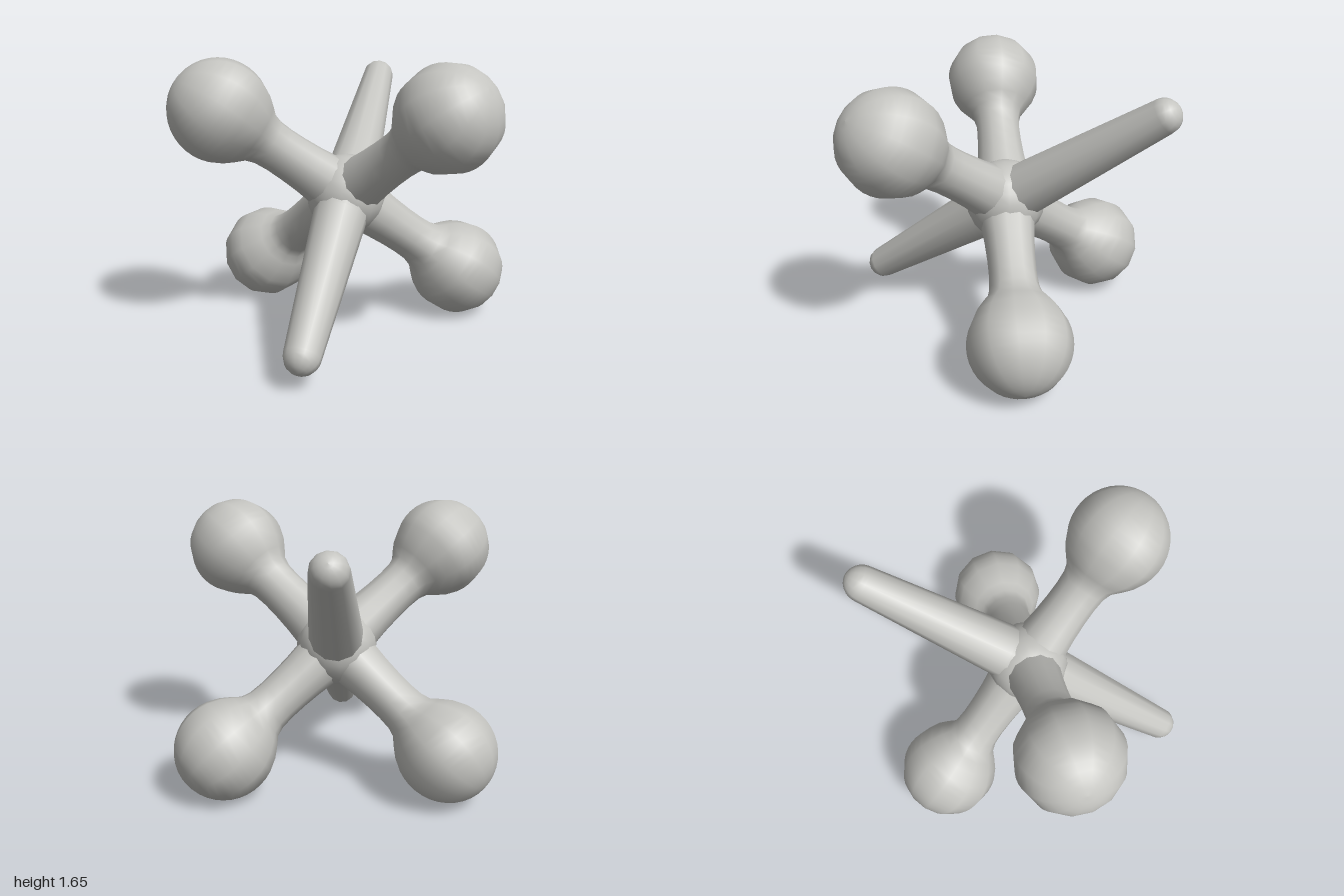
import * as THREE from 'three';

const SIDES = 12;
const CENTRE_Y = 0.825;

// Appends a round end to a profile, from a start angle to the tip
function addCap(points, centre, radius, startAngle, steps) {
  for (let i = 0; i <= steps; i++) {
    const a = THREE.MathUtils.lerp(startAngle, Math.PI / 2, i / steps);
    const r = i === steps ? 0 : radius * Math.cos(a);
    points.push(new THREE.Vector2(r, centre + radius * Math.sin(a)));
  }
  return points;
}

const toPoints = (pairs) => pairs.map(([r, y]) => new THREE.Vector2(r, y));

export function createModel() {
  const model = new THREE.Group();
  model.name = 'jack';
  const metal = new THREE.MeshStandardMaterial({ color: 0xc4c4c0 });
  metal.name = 'light grey metal';

  // Arm: slightly waisted stem flowing into a ball
  const armProfile = addCap(
    toPoints([[0.172, 0.05], [0.162, 0.16], [0.148, 0.28], [0.14, 0.4],
      [0.138, 0.5], [0.143, 0.58], [0.16, 0.635], [0.2, 0.68], [0.243, 0.735]]),
    0.91, 0.297, -0.35, 12);
  const armGeometry = new THREE.LatheGeometry(armProfile, SIDES);

  // Spike: tapered rod with a rounded tip
  const spikeProfile = addCap(toPoints([[0.166, 0.05], [0.16, 0.2]]), 1.115, 0.102, 0.06, 6);
  const spikeGeometry = new THREE.LatheGeometry(spikeProfile, SIDES);

  // Three crossing axes, each with a mirrored pair of parts
  const axes = [
    ['upperRightArm', 'lowerLeftArm', armGeometry, [-0.685, 0.53, 0.28]],
    ['upperLeftArm', 'lowerRightArm', armGeometry, [0.595, 0.53, 0.46]],
    ['backSpike', 'frontSpike', spikeGeometry, [0.125, 0.645, -0.9]],
  ];
  const up = new THREE.Vector3(0, 1, 0);
  for (const [name, oppositeName, geometry, direction] of axes) {
    for (const sign of [1, -1]) {
      const part = new THREE.Mesh(geometry, metal);
      part.name = sign > 0 ? name : oppositeName;
      const dir = new THREE.Vector3(...direction).normalize().multiplyScalar(sign);
      part.quaternion.setFromUnitVectors(up, dir);
      part.position.y = CENTRE_Y;
      model.add(part);
    }
  }

  // Hub where the arms meet
  const hub = new THREE.Mesh(new THREE.SphereGeometry(0.243, 16, 12), metal);
  hub.name = 'hub';
  hub.position.y = CENTRE_Y;
  model.add(hub);

  return model;
}
